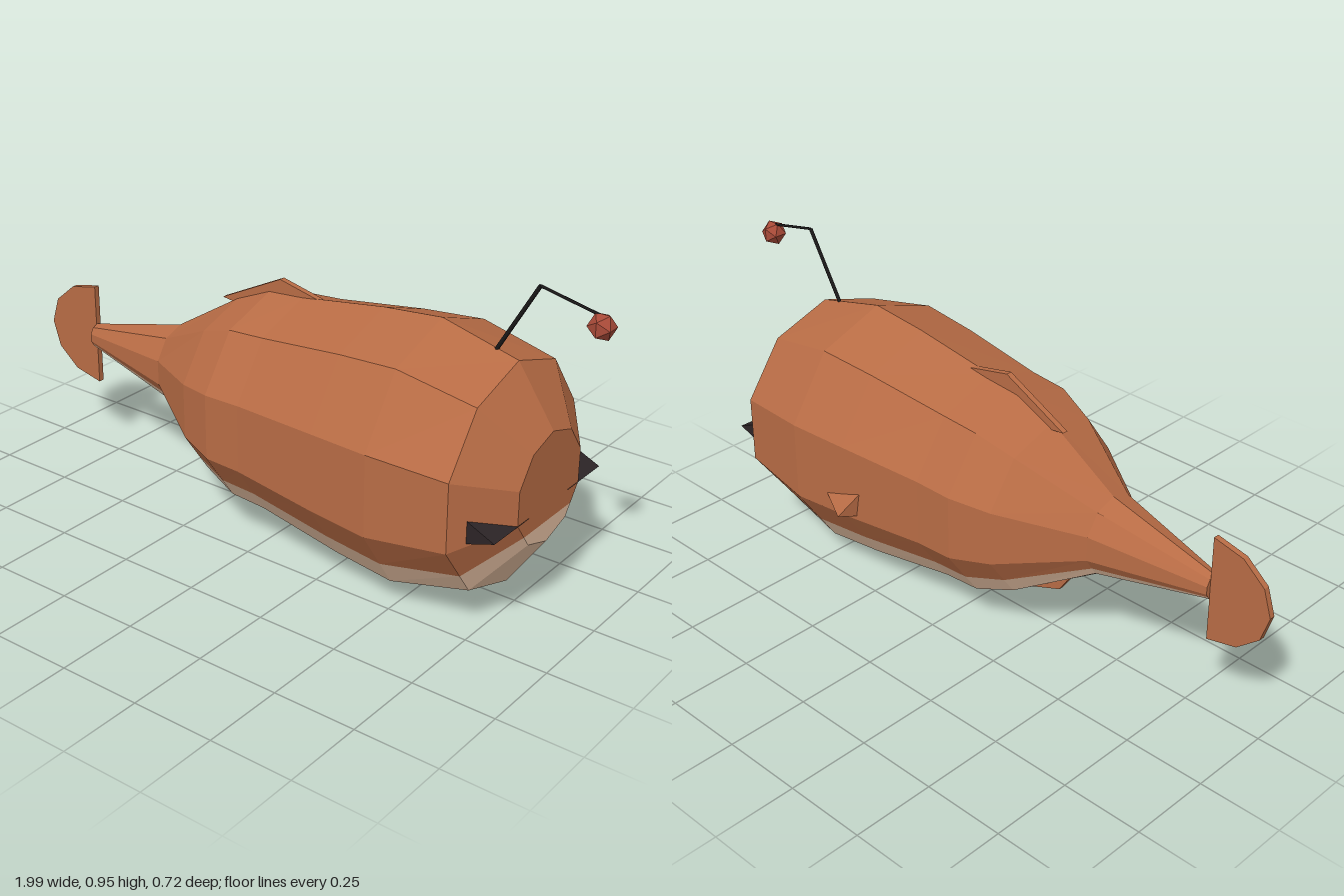
import * as THREE from 'three';

const CZ = 0.016; // body's centre line in z

function material(name, color) {
  const m = new THREE.MeshStandardMaterial({ color });
  m.name = name;
  return m;
}

function part(name, geometry, mat) {
  const mesh = new THREE.Mesh(geometry, mat);
  mesh.name = name;
  return mesh;
}

// Flat-shaded geometry from a list of Vector3 triangles
function facets(points) {
  const g = new THREE.BufferGeometry().setFromPoints(points);
  g.computeVertexNormals();
  return g;
}

// Ten-sided cross-section, starting at the keel, with one extra point per side on the belly line
function ring([x, bottom, top, halfWidth]) {
  const cy = (bottom + top) / 2, ry = (top - bottom) / 2;
  const rz = halfWidth / Math.sin(Math.PI * 0.4);
  const pts = [];
  for (let i = 0; i < 10; i++) {
    const a = i * Math.PI / 5;
    pts.push(new THREE.Vector3(x, cy - ry * Math.cos(a), CZ + rz * Math.sin(a)));
  }
  const left = pts[1].clone().lerp(pts[2], 0.4);
  const right = pts[9].clone().lerp(pts[8], 0.4);
  return [pts[0], pts[1], left, ...pts.slice(2, 9), right, pts[9]];
}

// Thin upright fin from an outline in x and y
function fin(name, outline, mat) {
  const shape = new THREE.Shape(outline.map(([x, y]) => new THREE.Vector2(x, y)));
  const g = new THREE.ExtrudeGeometry(shape, { depth: 0.018, bevelEnabled: false });
  g.translate(0, 0, 0);
  return part(name, g, mat);
}

// Straight rod between two points
function rod(name, a, b, radius, mat) {
  const dir = b.clone().sub(a);
  const mesh = part(name, new THREE.CylinderGeometry(radius, radius, dir.length(), 6), mat);
  mesh.position.copy(a).add(b).multiplyScalar(0.5);
  mesh.quaternion.setFromUnitVectors(new THREE.Vector3(0, 1, 0), dir.normalize());
  return mesh;
}

export function createModel() {
  const group = new THREE.Group();
  group.name = 'lanternFish';
  const skin = material('copper skin', 0xb86c45);
  const pale = material('pale belly', 0xe2bda0);
  const black = material('black', 0x1a1818);
  const eyeDark = material('eye dark', 0x2c2426);
  const red = material('lure red', 0xa84a38);

  // Body sections from tail to nose: x, bottom, top, half width
  const rings = [
    [-0.805, 0.36, 0.436, 0.03],
    [-0.45, 0.278, 0.525, 0.105],
    [-0.22, 0.125, 0.668, 0.248],
    [-0.1, 0.076, 0.72, 0.292],
    [0.02, 0.068, 0.73, 0.296],
    [0.3, 0.022, 0.772, 0.328],
    [0.49, 0.002, 0.79, 0.345],
    [0.73, 0.066, 0.73, 0.316],
    [0.845, 0.233, 0.561, 0.157],
  ].map(ring);

  const back = [], belly = [];
  for (let i = 0; i < rings.length - 1; i++) {
    for (let j = 0; j < 12; j++) {
      const k = (j + 1) % 12, a = rings[i], b = rings[i + 1];
      (j < 2 || j > 9 ? belly : back).push(a[j], b[j], b[k], a[j], b[k], a[k]);
    }
  }
  // End caps: flat face at the nose split at the belly line, small cap at the tail
  const nose = rings[rings.length - 1], tail = rings[0];
  for (let j = 2; j < 9; j++) back.push(nose[10], nose[j + 1], nose[j]);
  for (const [a, b] of [[1, 2], [2, 10], [10, 11]]) belly.push(nose[0], nose[b], nose[a]);
  for (let j = 1; j < 11; j++) back.push(tail[0], tail[j], tail[j + 1]);
  group.add(part('body', facets(back), skin), part('belly', facets(belly), pale));

  // Half-round tail fin
  const tailOutline = [];
  for (let i = 0; i <= 6; i++) {
    const a = Math.PI / 2 + i * Math.PI / 6;
    tailOutline.push([-0.805 + 0.195 * Math.cos(a), 0.398 + 0.163 * Math.sin(a)]);
  }
  group.add(fin('tailFin', tailOutline, skin));

  // Back and belly fins
  group.add(fin('dorsalFin', [[-0.275, 0.66], [-0.1, 0.64], [0.08, 0.7], [0.08, 0.735], [-0.06, 0.766]], skin));
  group.add(fin('ventralFin', [[-0.32, 0.205], [-0.275, 0.138], [-0.12, 0.078], [-0.12, 0.2]], skin));

  // Small pyramid fin on one flank
  const tip = new THREE.Vector3(0.275, 0.308, -0.36);
  const root = [[0.375, 0.335, -0.315], [0.24, 0.375, -0.305], [0.25, 0.295, -0.3]]
    .map((p) => new THREE.Vector3(...p));
  const [f, t, b] = root;
  group.add(part('sideFin', facets([f, tip, t, t, tip, b, b, tip, f, f, t, b].map((p) => p.clone())), skin));

  // Eyes: three-sided wedges standing out on both sides of the snout
  for (const side of [1, -1]) {
    const shape = new THREE.Shape([[0.762, 0.318], [0.846, 0.346], [0.762, 0.384]]
      .map(([x, y]) => new THREE.Vector2(x, y)));
    const g = new THREE.ExtrudeGeometry(shape, { depth: 0.172, bevelEnabled: false });
    g.translate(0, 0, CZ + (side > 0 ? 0.1 : -0.272));
    group.add(part(side > 0 ? 'rightEye' : 'leftEye', g, eyeDark));
  }

  // Bent stalk with a faceted lure
  const p0 = new THREE.Vector3(0.65, 0.725, CZ);
  const p1 = new THREE.Vector3(0.78, 0.95, CZ);
  const p2 = new THREE.Vector3(0.962, 0.912, CZ);
  group.add(rod('stalkLower', p0, p1, 0.006, black), rod('stalkUpper', p1, p2, 0.004, black));
  const lure = part('lure', new THREE.IcosahedronGeometry(0.039, 0), red);
  lure.position.set(0.96, 0.885, CZ);
  group.add(lure);

  return group;
}
